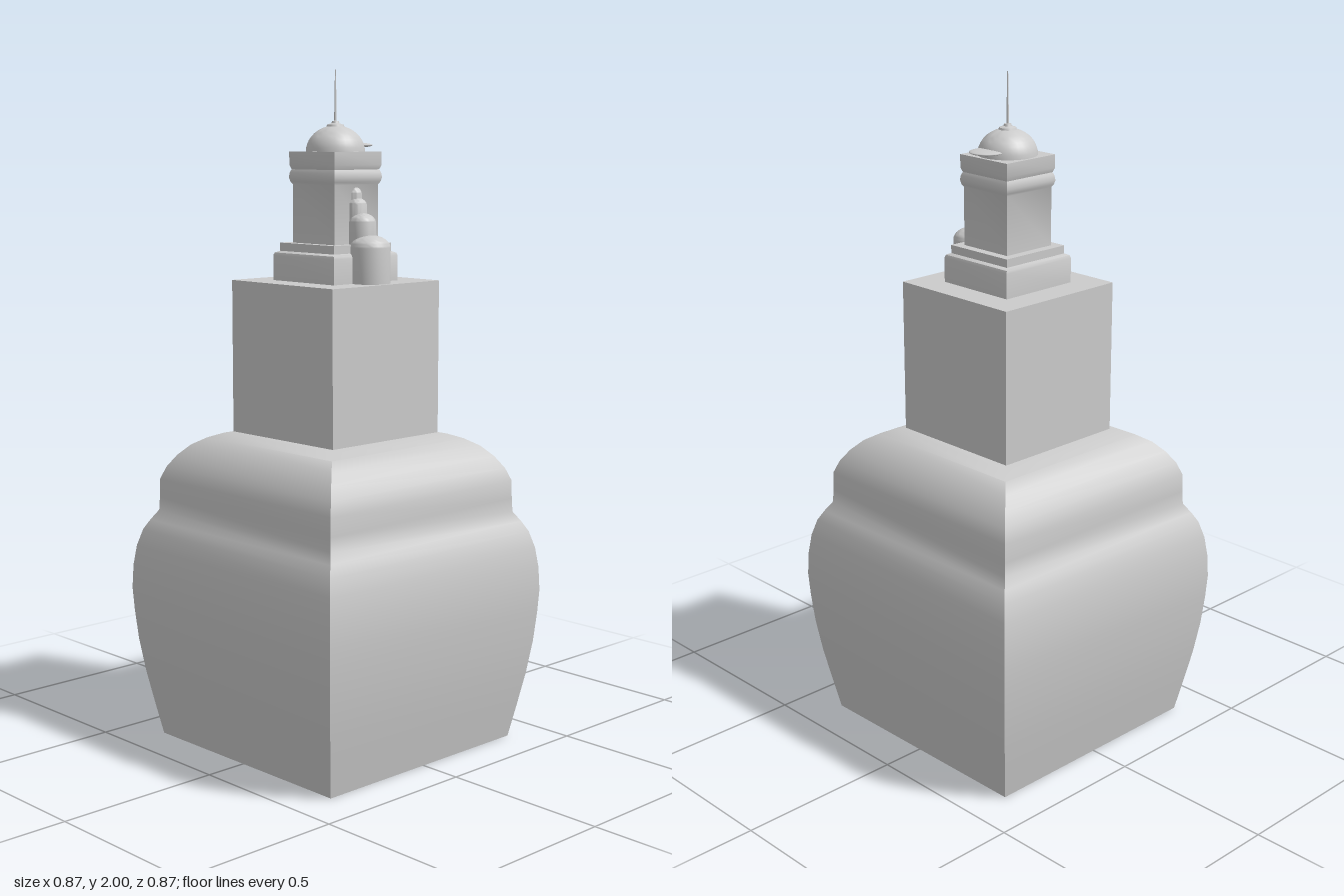
import * as THREE from 'three';
import { toCreasedNormals } from 'three/addons/utils/BufferGeometryUtils.js';

export function createModel() {
  const model = new THREE.Group();
  const material = new THREE.MeshStandardMaterial({ color: 0xcccccc });

  // Revolve a [halfWidth, y] profile; four sides make a square tower section.
  function turned(name, profile, sides = 32, x = 0, crease = 0.7) {
    const square = sides === 4;
    const k = square ? Math.SQRT2 : 1;
    const points = profile.map(([r, y]) => new THREE.Vector2(r * k, y));
    const lathe = new THREE.LatheGeometry(points, sides, square ? Math.PI / 4 : 0);
    const mesh = new THREE.Mesh(toCreasedNormals(lathe, crease), material);
    mesh.name = name;
    mesh.position.x = x;
    model.add(mesh);
    return mesh;
  }

  // Dome arc from the rim up to the axis
  function dome(r, y, h, n = 10) {
    return Array.from({ length: n + 1 }, (_, i) => {
      const a = (i / n) * Math.PI / 2;
      return [i === n ? 0 : r * Math.cos(a), y + h * Math.sin(a)];
    });
  }

  // Bulging square base with a waist and rounded shoulders
  turned('bulgingBase', [
    [0, 0], [0.372, 0], [0.391, 0.1], [0.409, 0.2], [0.423, 0.3], [0.431, 0.39],
    [0.435, 0.46], [0.432, 0.53], [0.424, 0.59], [0.41, 0.64], [0.394, 0.67],
    [0.375, 0.7], [0.373, 0.74], [0.372, 0.795], [0.358, 0.832], [0.335, 0.868],
    [0.305, 0.9], [0.27, 0.922], [0.235, 0.936], [0.2, 0.942], [0, 0.942],
  ], 4);

  // Plain block
  turned('block', [[0, 0.94], [0.215, 0.94], [0.215, 1.392], [0, 1.392]], 4);

  // Stepped plinth
  turned('plinth', [
    [0, 1.39], [0.129, 1.39], [0.129, 1.465], [0.126, 1.473],
    [0.115, 1.478], [0.115, 1.502], [0, 1.502],
  ], 4);

  // Tower shaft with a flared cornice
  turned('towerShaft', [
    [0, 1.5], [0.088, 1.5], [0.088, 1.672], [0.093, 1.68], [0.096, 1.692],
    [0.094, 1.706], [0.09, 1.715], [0.095, 1.728], [0.095, 1.766], [0, 1.766],
  ], 4);

  // Dome, collar and spire
  turned('dome', [[0, 1.764], ...dome(0.086, 1.766, 0.075)]);
  turned('domeCollar', [[0, 1.835], [0.027, 1.835], [0.024, 1.843],
    [0.012, 1.847], [0.01, 1.853], [0, 1.855]], 24);
  turned('spire', [[0, 1.85], [0.004, 1.85], [0.0015, 2], [0, 2]], 12);

  // Thin rounded brim at the back of the dome
  const brim = new THREE.Mesh(new THREE.SphereGeometry(0.05, 32, 12), material);
  brim.name = 'brim';
  brim.scale.y = 0.14;
  brim.position.set(0, 1.784, -0.082);
  model.add(brim);

  // Stack of shrinking domed turrets leaning on the tower's left side
  [
    // x, radius, bottom, rim, top
    [0.145, 0.058, 1.39, 1.495, 1.53],
    [0.113, 0.039, 1.5, 1.563, 1.592],
    [0.09, 0.029, 1.55, 1.612, 1.635],
    [0.08, 0.021, 1.6, 1.645, 1.666],
  ].forEach(([x, r, bottom, rim, top], i) =>
    turned('turret' + (i + 1), [[0, bottom], [r, bottom], ...dome(r, rim, top - rim)], 32, x));

  return model;
}
